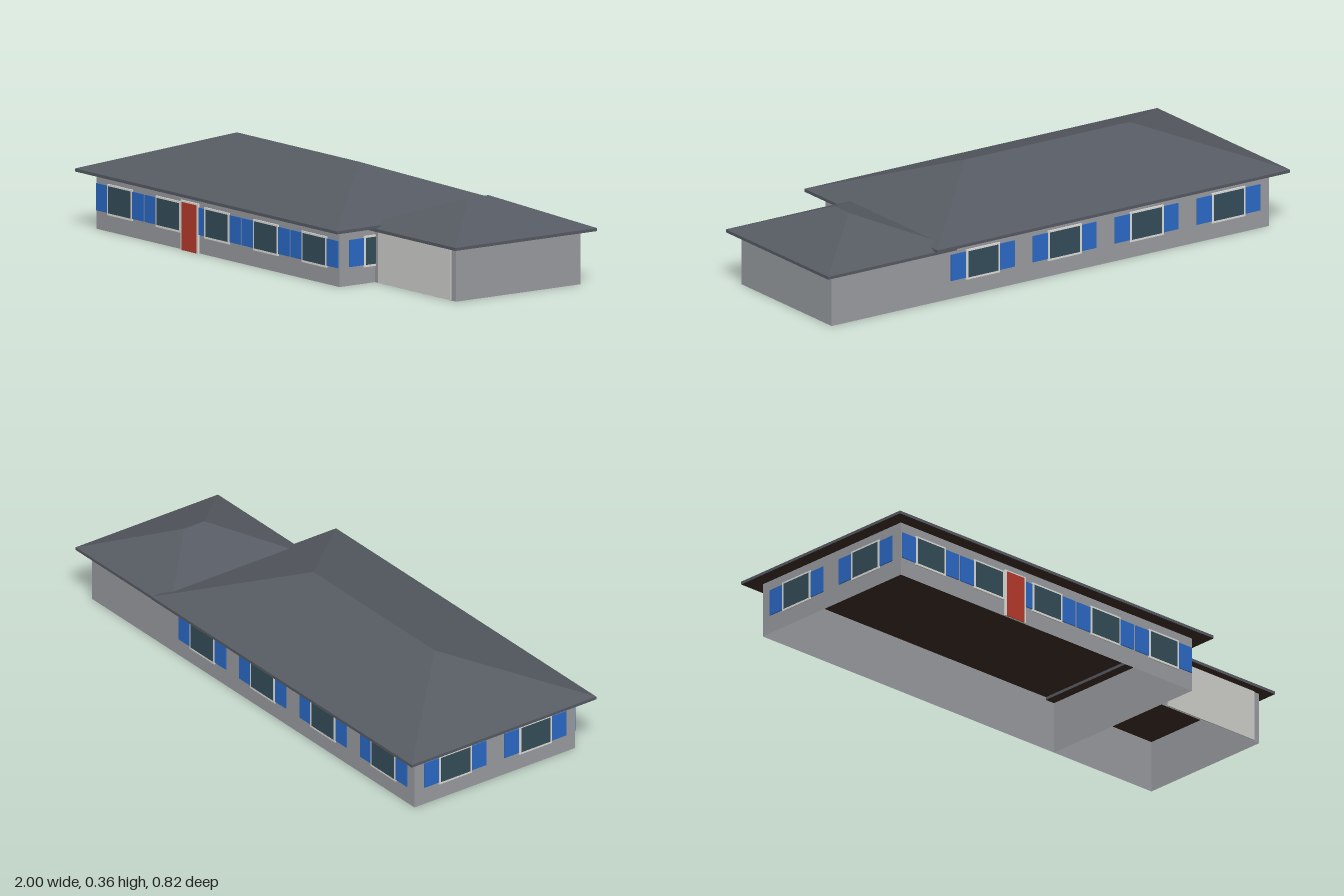
import * as THREE from 'three';

const material = (name, color, options = {}) => {
  const m = new THREE.MeshStandardMaterial({ color, ...options });
  m.name = name;
  return m;
};

export function createModel() {
  const model = new THREE.Group();
  model.name = 'bungalow';

  const wallGrey = material('wall grey', 0x999ca1, { side: THREE.DoubleSide });
  const roofSlate = material('roof slate', 0x565a62);
  const soffitBrown = material('soffit brown', 0x3a2c23);
  const trimWhite = material('trim white', 0xdeded9);
  const glassDark = material('glass dark', 0x344d59);
  const shutterBlue = material('shutter blue', 0x2b69c6);
  const doorRed = material('door red', 0xb83a2c);
  const garageDoorGrey = material('garage door grey', 0xd0d0cc);

  const add = (parent, name, geometry, mat, x = 0, y = 0, z = 0) => {
    const mesh = new THREE.Mesh(geometry, mat);
    mesh.name = name;
    mesh.position.set(x, y, z);
    parent.add(mesh);
    return mesh;
  };

  // Thin plate standing just proud of a wall, spanning x0..x1 and y0..y1
  const plate = (parent, name, mat, x0, x1, y0, y1, depth) =>
    add(parent, name, new THREE.BoxGeometry(x1 - x0, y1 - y0, depth), mat,
      (x0 + x1) / 2, (y0 + y1) / 2, 0.001 + depth / 2);

  // Upright wall panel, turned to face outwards
  const wall = (name, width, height, x, z, turn) => {
    const mesh = add(model, name, new THREE.PlaneGeometry(width, height), wallGrey, x, height / 2, z);
    mesh.rotation.y = turn;
  };

  // Main house and garage walls, open below
  const X0 = -0.945, X1 = 0.48, W = 0.358, H = 0.206;
  const midX = (X0 + X1) / 2, length = X1 - X0;
  wall('houseFrontWall', length, H, midX, W, 0);
  wall('houseBackWall', length, H, midX, -W, Math.PI);
  wall('houseLeftEndWall', 2 * W, H, X0, 0, -Math.PI / 2);
  wall('houseRightEndWall', 2 * W, H, X1, 0, Math.PI / 2);

  const G1 = 0.957, GZ = 0.2, GH = 0.196;
  wall('garageFrontWall', G1 - X1, GH, (X1 + G1) / 2, GZ, 0);
  wall('garageBackWall', G1 - X1, GH, (X1 + G1) / 2, -W, Math.PI);
  wall('garageSideWall', GZ + W, GH, G1, (GZ - W) / 2, Math.PI / 2);

  // Hipped roof with a thin fascia and a flat soffit; the ridge runs along x
  const hipRoof = (name, L, D, ridge, eave, peak) => {
    const group = new THREE.Group();
    group.name = name;
    const fascia = 0.011;
    const corners = [[-L, D], [L, D], [L, -D], [-L, -D]];
    const at = (i, y) => [corners[i % 4][0], y, corners[i % 4][1]];
    const left = [-ridge, peak, 0], right = [ridge, peak, 0];
    const tops = [[right, left], [right], [left, right], [left]];
    const positions = [];
    const face = (...p) => {
      for (let i = 1; i < p.length - 1; i++) positions.push(...p[0], ...p[i], ...p[i + 1]);
    };
    for (let i = 0; i < 4; i++) {
      face(at(i, eave), at(i + 1, eave), at(i + 1, eave + fascia), at(i, eave + fascia));
      face(at(i, eave + fascia), at(i + 1, eave + fascia), ...tops[i]);
    }
    const geometry = new THREE.BufferGeometry();
    geometry.setAttribute('position', new THREE.Float32BufferAttribute(positions, 3));
    geometry.computeVertexNormals();
    add(group, name + 'Slopes', geometry, roofSlate);
    const soffit = add(group, name + 'Soffit', new THREE.PlaneGeometry(2 * L, 2 * D), soffitBrown, 0, eave, 0);
    soffit.rotation.x = Math.PI / 2;
    model.add(group);
    return group;
  };
  hipRoof('houseRoof', 0.7675, 0.412, 0.3575, 0.205, 0.361).position.x = midX;
  const garageRoof = hipRoof('garageRoof', 0.3175, 0.28, 0.045, 0.194, 0.314);
  garageRoof.position.set(0.72, 0, -0.081);
  garageRoof.rotation.y = Math.PI / 2;

  // Framed window with a pair of shutters
  const shutteredWindow = (name, x, z, turn) => {
    const group = new THREE.Group();
    group.name = name;
    plate(group, 'windowFrame', trimWhite, -0.073, 0.073, 0.06, 0.173, 0.005);
    plate(group, 'windowGlass', glassDark, -0.065, 0.065, 0.068, 0.166, 0.006);
    for (const s of [-1, 1]) {
      const inner = s * 0.0735, outer = s * 0.138;
      plate(group, 'shutter', shutterBlue, Math.min(inner, outer), Math.max(inner, outer), 0.068, 0.166, 0.004);
    }
    group.position.set(x, 0, z);
    group.rotation.y = turn;
    model.add(group);
  };
  // Evenly spaced: five in front, four behind, two at each end
  for (let i = 0; i < 5; i++) shutteredWindow('frontWindow', X0 + length * (i + 0.5) / 5, W, 0);
  for (let i = 0; i < 4; i++) shutteredWindow('backWindow', X0 + length * (i + 0.5) / 4, -W, Math.PI);
  for (const z of [-0.179, 0.179]) {
    shutteredWindow('leftEndWindow', X0, z, -Math.PI / 2);
    shutteredWindow('rightEndWindow', X1, z, Math.PI / 2);
  }

  // Front door
  const entrance = new THREE.Group();
  entrance.name = 'frontDoor';
  plate(entrance, 'doorFrame', trimWhite, -0.051, 0.051, 0, 0.18, 0.007);
  plate(entrance, 'doorPanel', doorRed, -0.042, 0.042, 0, 0.174, 0.009);
  entrance.position.set(-0.391, 0, W);
  model.add(entrance);

  // Wide garage door
  const garageDoor = new THREE.Group();
  garageDoor.name = 'garageDoor';
  plate(garageDoor, 'garageDoorPanel', garageDoorGrey, 0.508, 0.93, 0.002, 0.193, 0.005);
  garageDoor.position.z = GZ;
  model.add(garageDoor);

  return model;
}
